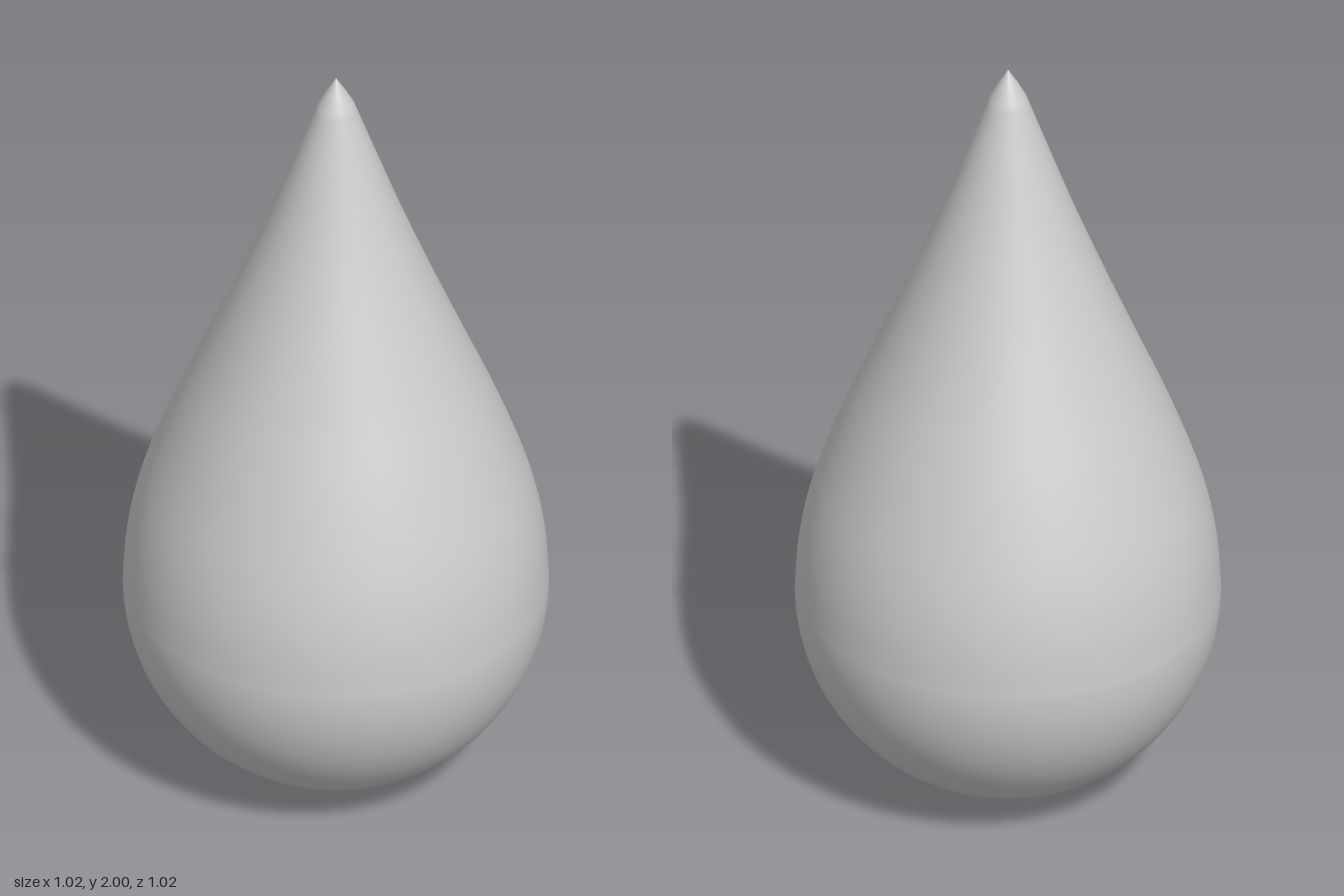
import * as THREE from 'three';

const RADIUS = 0.512;

export function createModel() {
  const group = new THREE.Group();
  group.name = 'teardrop';

  // Round belly: quarter circle from the bottom pole to the widest ring
  const profile = [];
  for (let i = 0; i < 24; i++) {
    const a = (i / 24) * Math.PI / 2;
    profile.push(new THREE.Vector2(RADIUS * Math.sin(a), RADIUS * (1 - Math.cos(a))));
  }

  // Shoulder and neck: smooth curve from the widest ring up to the tip
  const neck = new THREE.SplineCurve([
    [0.512, 0.512], [0.501, 0.65], [0.468, 0.8], [0.398, 1.0], [0.316, 1.2],
    [0.235, 1.4], [0.158, 1.6], [0.087, 1.8], [0.045, 1.92],
  ].map(([r, y]) => new THREE.Vector2(r, y)));
  profile.push(...neck.getPoints(40));

  // Pointed tip
  profile.push(new THREE.Vector2(0.024, 1.96), new THREE.Vector2(0, 2));

  const body = new THREE.Mesh(
    new THREE.LatheGeometry(profile, 96),
    new THREE.MeshStandardMaterial({ color: 0xcccccc }),
  );
  body.name = 'dropBody';
  group.add(body);
  return group;
}
